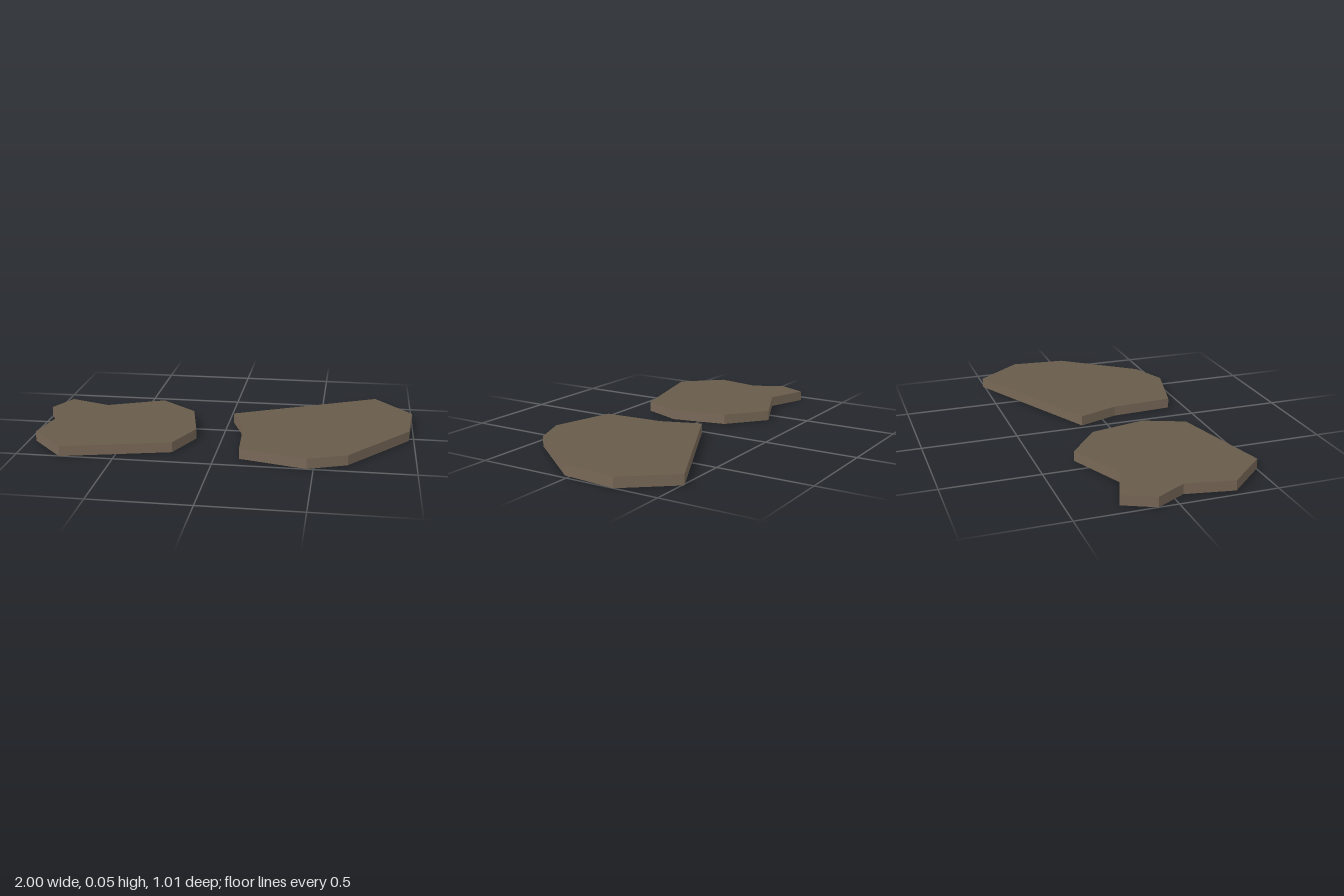
import * as THREE from 'three';

const THICKNESS = 0.053;

// Flat slab with an outline given as [x, z] corners
function makeSlab(name, outline, materials) {
  const shape = new THREE.Shape(outline.map(([x, z]) => new THREE.Vector2(x, z)));
  const geometry = new THREE.ExtrudeGeometry(shape, { depth: THICKNESS, bevelEnabled: false });
  geometry.rotateX(Math.PI / 2); // shape y becomes z, depth points down
  geometry.translate(0, THICKNESS, 0);
  const slab = new THREE.Mesh(geometry, materials);
  slab.name = name;
  return slab;
}

export function createModel() {
  const faceBrown = new THREE.MeshStandardMaterial({ name: 'faceBrown', color: 0x685b4b });
  const edgeBrown = new THREE.MeshStandardMaterial({ name: 'edgeBrown', color: 0x786857 });
  faceBrown.flatShading = edgeBrown.flatShading = true;
  const materials = [faceBrown, edgeBrown]; // caps, rim

  const group = new THREE.Group();
  group.name = 'stoneSlabs';

  // Rounded slab with a small spur at its back corner
  group.add(makeSlab('spurredSlab', [
    [-0.925, -0.26], [-0.70, -0.18], [-0.40, -0.31], [-0.197, -0.143],
    [-0.135, 0.15], [-0.223, 0.367], [-0.775, 0.502], [-0.96, 0.303],
    [-0.915, 0.055], [-1.0, -0.10],
  ], materials));

  // Broad slab with a shallow inward corner
  group.add(makeSlab('broadSlab', [
    [0.027, -0.133], [0.80, -0.51], [1.0, -0.265], [0.973, 0.03],
    [0.665, 0.42], [0.467, 0.498], [0.125, 0.41], [0.105, 0.08],
  ], materials));

  return group;
}
